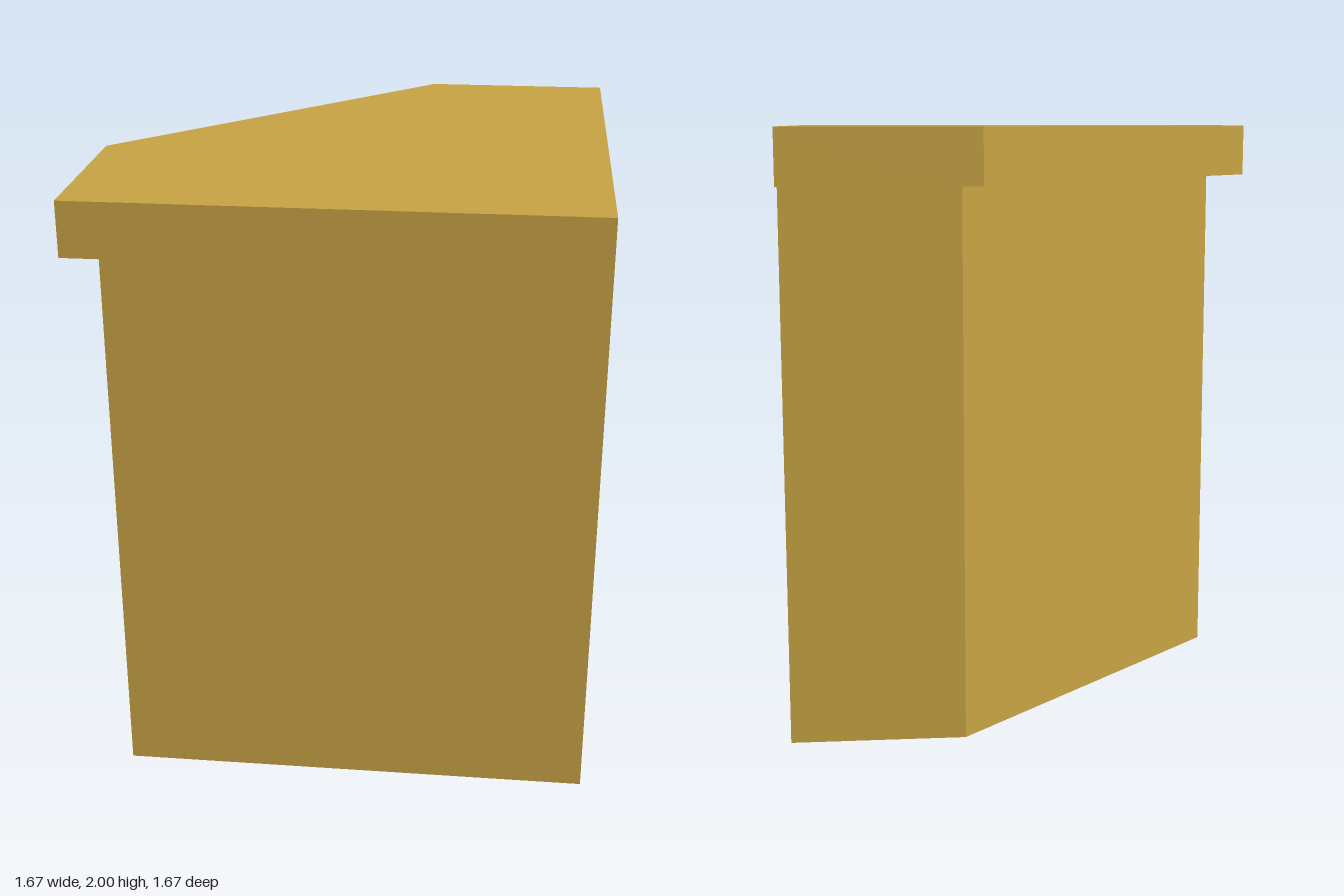
import * as THREE from 'three';

const FLUSH = 0.835; // the two full-length sides, shared by body and top

// Upright prism with a square corner at +x +z and a chamfered corner at -x -z
function cornerPrism(name, reach, chamfer, y0, y1, material) {
  const outline = [
    [FLUSH, FLUSH], [FLUSH, -reach], [chamfer, -reach],
    [-reach, chamfer], [-reach, FLUSH],
  ].map(([x, z]) => new THREE.Vector2(x, -z));
  const geometry = new THREE.ExtrudeGeometry(new THREE.Shape(outline), {
    depth: y1 - y0, bevelEnabled: false,
  });
  geometry.rotateX(-Math.PI / 2);
  geometry.translate(0, y0, 0);
  const mesh = new THREE.Mesh(geometry, material);
  mesh.name = name;
  return mesh;
}

export function createModel() {
  const group = new THREE.Group();
  group.name = 'cornerCabinet';
  const wood = new THREE.MeshStandardMaterial({ color: 0xc8a445 });
  wood.name = 'goldenWood';

  // Cabinet body, and the top that overhangs its three exposed sides
  group.add(cornerPrism('cabinetBody', 0.71, 0.26, 0, 1.82, wood));
  group.add(cornerPrism('counterTop', 0.835, 0.2, 1.82, 2, wood));
  return group;
}
